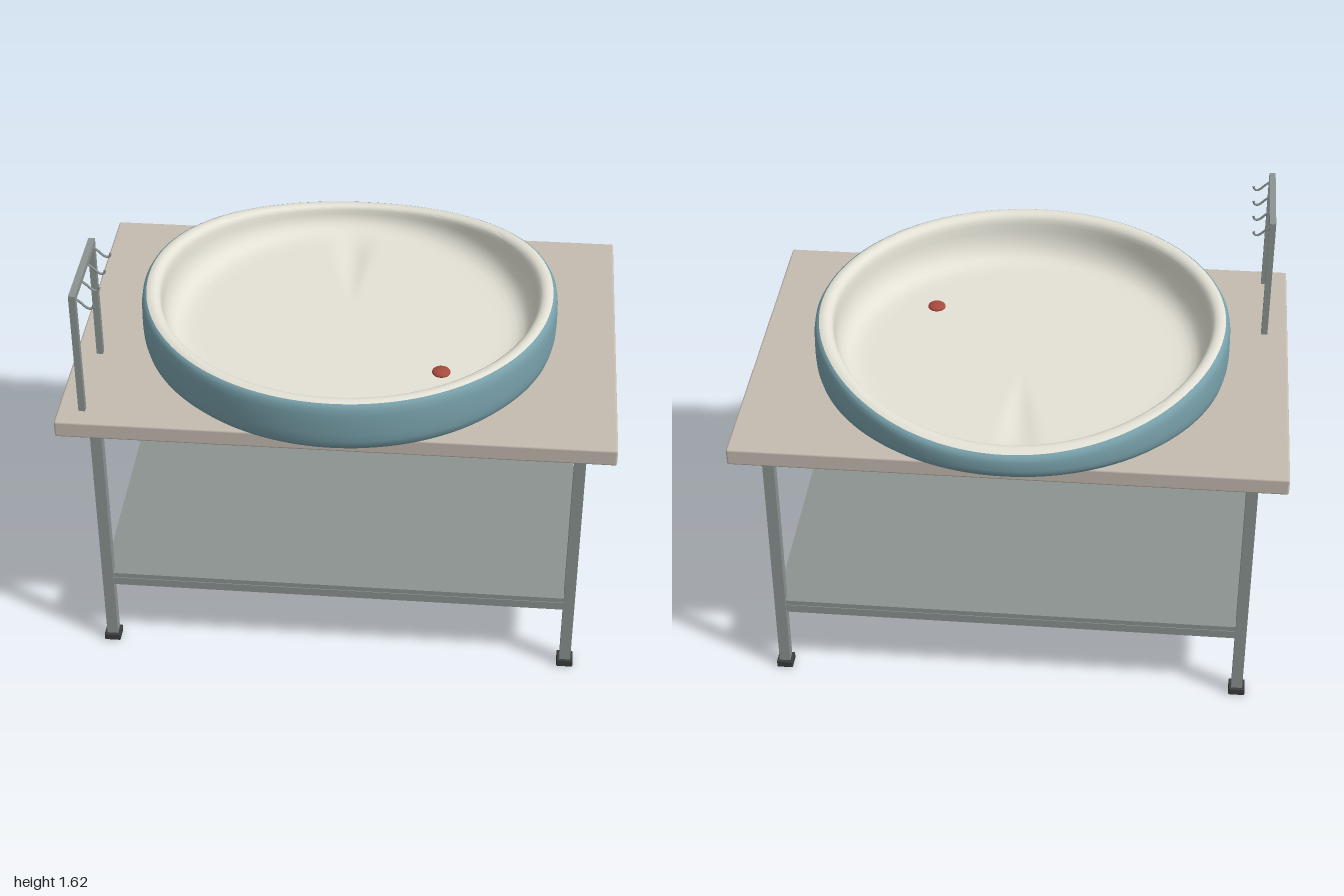
import * as THREE from 'three';
import { toCreasedNormals } from 'three/addons/utils/BufferGeometryUtils.js';
import { RoundedBoxGeometry } from 'three/addons/geometries/RoundedBoxGeometry.js';

const mat = (color, side = THREE.FrontSide) => new THREE.MeshStandardMaterial({ color, side });
const metal = mat(0x8b9391);
const rubber = mat(0x3a3d3c);
const stone = mat(0xc4bbb0);
const teal = mat(0x78a0aa, THREE.DoubleSide);
const cream = mat(0xe4e2d6, THREE.DoubleSide);
const red = mat(0xa84a3e);

function add(parent, name, geometry, material, x = 0, y = 0, z = 0) {
  const mesh = new THREE.Mesh(geometry, material);
  mesh.name = name;
  mesh.position.set(x, y, z);
  parent.add(mesh);
  return mesh;
}

const box = (parent, name, w, h, d, material, x, y, z) =>
  add(parent, name, new THREE.BoxGeometry(w, h, d), material, x, y, z);

const FLOOR = 1.14, RIM = 1.326;

// Lathe whose wall height falls away towards the back, with a shallow channel in the floor
function basinSurface(profile, channel) {
  const geo = new THREE.LatheGeometry(profile.map(([r, y]) => new THREE.Vector2(r, y)), 160);
  const p = geo.attributes.position;
  for (let i = 0; i < p.count; i++) {
    const x = p.getX(i), z = p.getZ(i);
    let y = p.getY(i);
    const drop = z < 0 ? 0.172 * z * z : 0;
    y -= drop * Math.max(0, (y - FLOOR) / (RIM - FLOOR));
    if (channel && z < -0.12) {
      const across = (Math.atan2(x, -z) + 0.06) / 0.17;
      const along = THREE.MathUtils.smoothstep(-z, 0.12, 0.5) * (1 - THREE.MathUtils.smoothstep(-z, 0.55, 0.68));
      if (Math.abs(across) < 1) y -= 0.006 * along * (1 + Math.cos(Math.PI * across));
    }
    p.setY(i, y);
  }
  return toCreasedNormals(geo, 0.7);
}

function createBasin() {
  const basin = new THREE.Group();
  basin.name = 'basin';

  // Outer shell
  add(basin, 'basinShell', basinSurface([
    [0, 1.106], [0.69, 1.106], [0.72, 1.11], [0.75, 1.125], [0.768, 1.145], [0.774, 1.17],
    [0.776, 1.2], [0.776, 1.24], [0.775, 1.28], [0.771, 1.305], [0.764, 1.317], [0.757, 1.321],
  ], false), teal);

  // Rolled rim, inner wall and floor
  const lining = [
    [0.757, 1.321], [0.747, 1.325], [0.735, 1.326], [0.722, 1.323], [0.711, 1.315], [0.705, 1.303],
    [0.702, 1.285], [0.7, 1.255], [0.696, 1.225], [0.687, 1.196], [0.673, 1.172], [0.654, 1.154],
    [0.63, 1.144],
  ];
  for (let r = 0.6; r > 0.01; r -= 0.05) lining.push([r, FLOOR]);
  lining.push([0, FLOOR]);
  add(basin, 'basinLining', basinSurface(lining, true), cream);

  // Drain plug
  add(basin, 'drainPlug', new THREE.SphereGeometry(0.034, 24, 16), red, 0.36, 1.144, 0.285).scale.y = 0.4;
  return basin;
}

function createFrame() {
  const frame = new THREE.Group();
  frame.name = 'frame';
  const lx = 0.877, lz = 0.557;

  for (const sx of [-1, 1]) {
    for (const sz of [-1, 1]) {
      box(frame, 'leg', 0.042, 1.04, 0.042, metal, sx * lx, 0.545, sz * lz);
      add(frame, 'foot', new RoundedBoxGeometry(0.062, 0.03, 0.062, 2, 0.005), rubber, sx * lx, 0.015, sz * lz);
    }
    // Side rails
    box(frame, 'sideRail', 0.03, 0.033, 2 * lz - 0.03, metal, sx * lx, 0.293, 0);
  }
  for (const sz of [-1, 1]) {
    box(frame, 'longRail', 2 * lx - 0.03, 0.033, 0.03, metal, 0, 0.293, sz * lz);
  }
  // Lower shelf
  box(frame, 'shelf', 2 * lx + 0.026, 0.02, 2 * lz + 0.026, metal, 0, 0.32, 0);
  return frame;
}

function createRack() {
  const rack = new THREE.Group();
  rack.name = 'hookRack';
  const x = -0.911, z0 = 0.24, z1 = 0.6;

  for (const z of [z0, z1]) box(rack, 'rackPost', 0.024, 0.475, 0.024, metal, x, 1.3575, z);
  box(rack, 'rackBar', 0.024, 0.024, z1 - z0 + 0.024, metal, x, 1.603, (z0 + z1) / 2);

  // Hooks
  const path = new THREE.CatmullRomCurve3([
    [-0.905, 1.592], [-0.885, 1.575], [-0.868, 1.558], [-0.855, 1.552], [-0.845, 1.557], [-0.842, 1.57],
  ].map(([px, py]) => new THREE.Vector3(px, py, 0)));
  const hook = new THREE.TubeGeometry(path, 20, 0.0045, 8);
  for (let i = 0; i < 4; i++) add(rack, 'hook', hook, metal, 0, 0, 0.25 + i * 0.112);
  return rack;
}

export function createModel() {
  const model = new THREE.Group();
  model.name = 'washTable';
  model.add(createFrame());
  add(model, 'tableTop', new RoundedBoxGeometry(2, 0.066, 1.37, 3, 0.008), stone, 0, 1.092, 0);
  model.add(createBasin(), createRack());
  return model;
}
